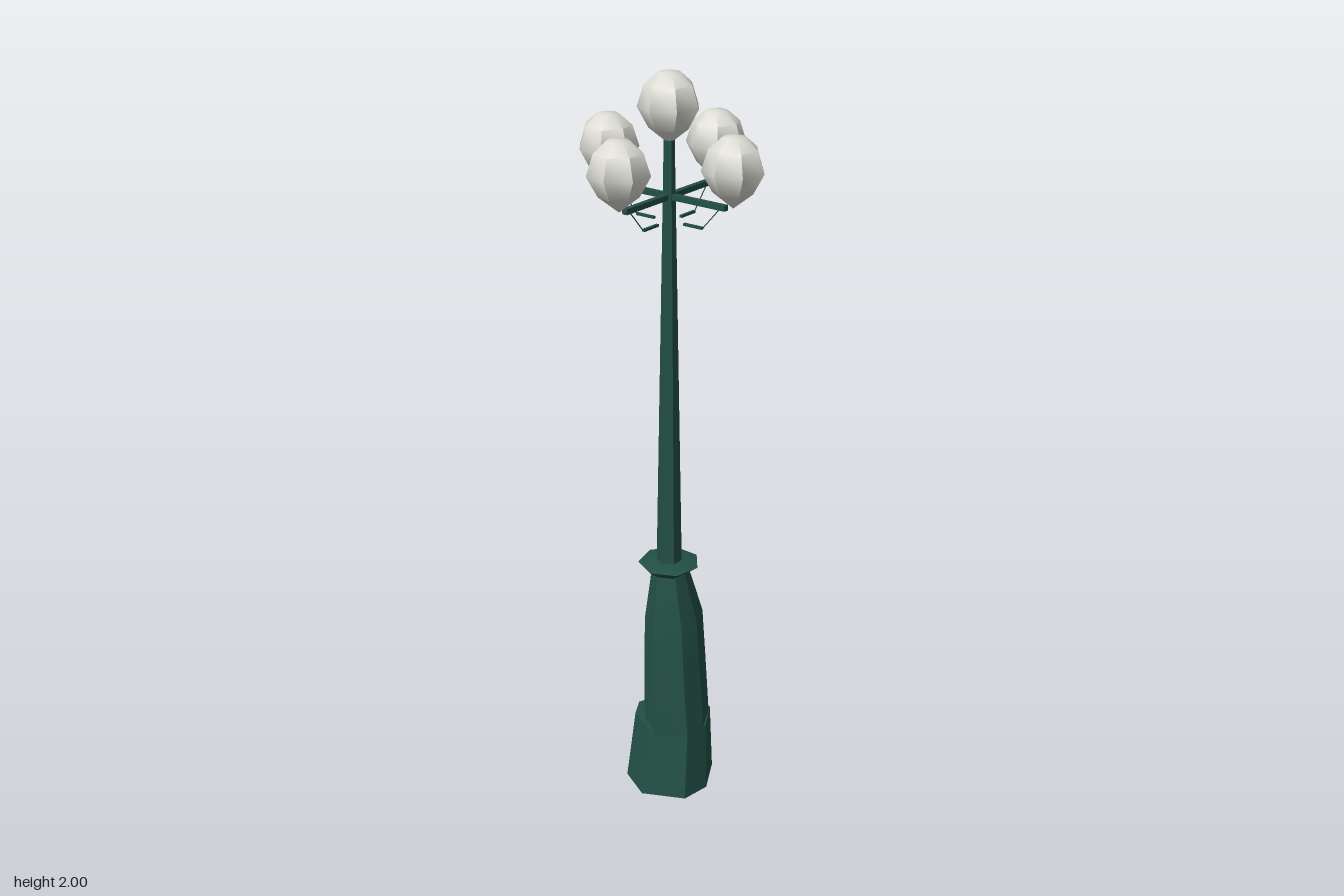
import * as THREE from 'three';
import { toCreasedNormals } from 'three/addons/utils/BufferGeometryUtils.js';

// Seven-sided footprint [x, z], shared by every section of the foot
const OUTLINE = [[-0.07, -0.105], [0.075, -0.105], [0.125, -0.01], [0.11, 0.07],
  [0, 0.125], [-0.09, 0.08], [-0.12, 0.02]];

// Each ring is [y, xMin, xMax, zMin, zMax]; the footprint is fitted to those limits
function loft(rings, crease) {
  const n = OUTLINE.length, pos = [], index = [];
  for (const [y, x0, x1, z0, z1] of rings) {
    for (const [x, z] of OUTLINE) {
      pos.push(x0 + (x + 0.12) / 0.245 * (x1 - x0), y, z0 + (z + 0.105) / 0.23 * (z1 - z0));
    }
  }
  for (let i = 0; i < rings.length - 1; i++) {
    for (let j = 0; j < n; j++) {
      const a = i * n + j, b = i * n + (j + 1) % n;
      index.push(a, a + n, b, b, a + n, b + n);
    }
  }
  const g = new THREE.BufferGeometry();
  g.setAttribute('position', new THREE.Float32BufferAttribute(pos, 3));
  g.setIndex(index);
  return toCreasedNormals(g, crease);
}

const lathe = (profile, sides, crease) => toCreasedNormals(
  new THREE.LatheGeometry(profile.map(([r, y]) => new THREE.Vector2(r, y)), sides), crease);

export function createModel() {
  const model = new THREE.Group();
  model.name = 'streetLamp';
  const iron = new THREE.MeshStandardMaterial({ color: 0x225045 });
  iron.name = 'greenIron';
  const glass = new THREE.MeshStandardMaterial({ color: 0xdcdcd4 });
  glass.name = 'frostedGlass';

  const add = (parent, name, geometry, material, x = 0, y = 0, z = 0) => {
    const mesh = new THREE.Mesh(geometry, material);
    mesh.name = name;
    mesh.position.set(x, y, z);
    parent.add(mesh);
    return mesh;
  };

  // Wide plinth with a ledge at the top
  add(model, 'plinth', loft([
    [0, 0, 0, 0, 0],
    [0, -0.12, 0.125, -0.105, 0.125],
    [0.2, -0.105, 0.113, -0.1, 0.092],
    [0.2, 0, 0, 0, 0],
  ], 0.5), iron);

  // Tapered pedestal with a shoulder
  add(model, 'pedestal', loft([
    [0.19, -0.065, 0.112, -0.085, 0.09],
    [0.38, -0.066, 0.094, -0.085, 0.086],
    [0.52, -0.068, 0.08, -0.085, 0.075],
    [0.67, -0.048, 0.045, -0.048, 0.048],
  ], 0.5), iron);

  // Flared collar and slender pole
  add(model, 'collar', lathe([[0, 0.66], [0.042, 0.66], [0.083, 0.692], [0.06, 0.7], [0, 0.7]], 7, 0.4), iron);
  add(model, 'pole', toCreasedNormals(new THREE.CylinderGeometry(0.013, 0.034, 1.17, 6), 0.5), iron, 0, 1.275, 0);

  // Globes taper to a point underneath
  const globe = lathe([[0, -0.09], [0.05, -0.05], [0.077, 0], [0.06, 0.052], [0.028, 0.08], [0, 0.083]], 7, 0.75);
  add(model, 'topGlobe', globe, glass, 0, 1.917, 0);

  // Four arms, each with a globe and a fine brace below
  const armShape = new THREE.BoxGeometry(0.17, 0.014, 0.014);
  const braceShape = new THREE.BoxGeometry(0.055, 0.006, 0.008);
  const strutShape = new THREE.BoxGeometry(0.068, 0.002, 0.002);
  for (let i = 0; i < 4; i++) {
    const branch = new THREE.Group();
    branch.name = 'branch' + (i + 1);
    branch.rotation.y = i * Math.PI / 2;
    add(branch, 'arm', armShape, iron, 0.085, 1.7, 0);
    add(branch, 'brace', braceShape, iron, 0.073, 1.638, 0);
    add(branch, 'strut', strutShape, iron, 0.125, 1.665, 0).rotation.z = 0.85;
    add(branch, 'globe', globe, glass, 0.19, 1.793, 0).rotation.y = i * 0.9;
    model.add(branch);
  }
  return model;
}
